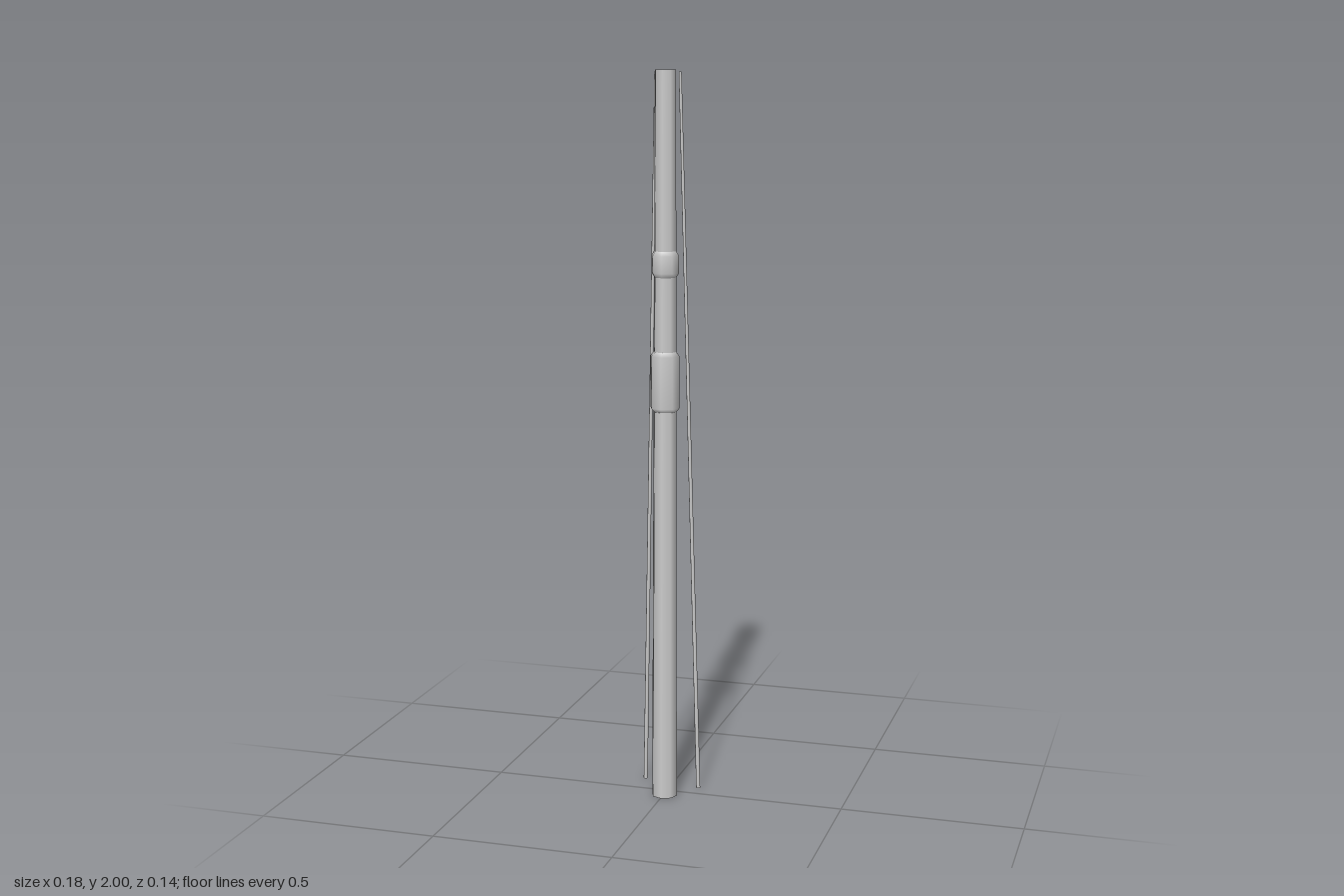
import * as THREE from 'three';

const SIDES = 8;
const material = new THREE.MeshStandardMaterial({ color: 0xcccccc });
const openMaterial = new THREE.MeshStandardMaterial({ color: 0xcccccc, side: THREE.DoubleSide });

// Centre line of the slightly leaning main tube
const tubeFoot = new THREE.Vector3(0.002, 0, 0.031);
const tubeTip = new THREE.Vector3(0.003, 2, 0.024);

// Tapered round bar between two points
function bar(name, from, to, rFrom, rTo, open = false) {
  const dir = to.clone().sub(from);
  const geometry = new THREE.CylinderGeometry(rTo, rFrom, dir.length(), SIDES, 1, open);
  const mesh = new THREE.Mesh(geometry, open ? openMaterial : material);
  mesh.name = name;
  mesh.position.copy(from).add(to).multiplyScalar(0.5);
  mesh.quaternion.setFromUnitVectors(new THREE.Vector3(0, 1, 0), dir.normalize());
  return mesh;
}

// Bevelled sleeve around the tube
function collar(name, y0, y1, r) {
  const half = (y1 - y0) / 2;
  const bevel = 0.012;
  const profile = [
    [0.031, -half], [r, -half + bevel], [r, half - bevel], [0.031, half],
  ].map(([x, y]) => new THREE.Vector2(x, y));
  const mesh = new THREE.Mesh(new THREE.LatheGeometry(profile, SIDES), openMaterial);
  mesh.name = name;
  mesh.position.lerpVectors(tubeFoot, tubeTip, (y0 + y1) / 4);
  return mesh;
}

export function createModel() {
  const model = new THREE.Group();
  model.name = 'bracedPole';

  // Hollow tapered tube with two sleeves
  model.add(bar('mainTube', tubeFoot, tubeTip, 0.036, 0.029, true));
  model.add(collar('lowerCollar', 1.09, 1.255, 0.041));
  model.add(collar('upperCollar', 1.455, 1.525, 0.038));

  // Two thin stays spreading towards the back
  model.add(bar('leftStay', new THREE.Vector3(0.082, 0.005, -0.034),
    new THREE.Vector3(0.035, 1.995, -0.004), 0.006, 0.004));
  model.add(bar('rightStay', new THREE.Vector3(-0.083, 0.005, -0.065),
    new THREE.Vector3(-0.034, 1.995, -0.01), 0.006, 0.004));

  return model;
}
